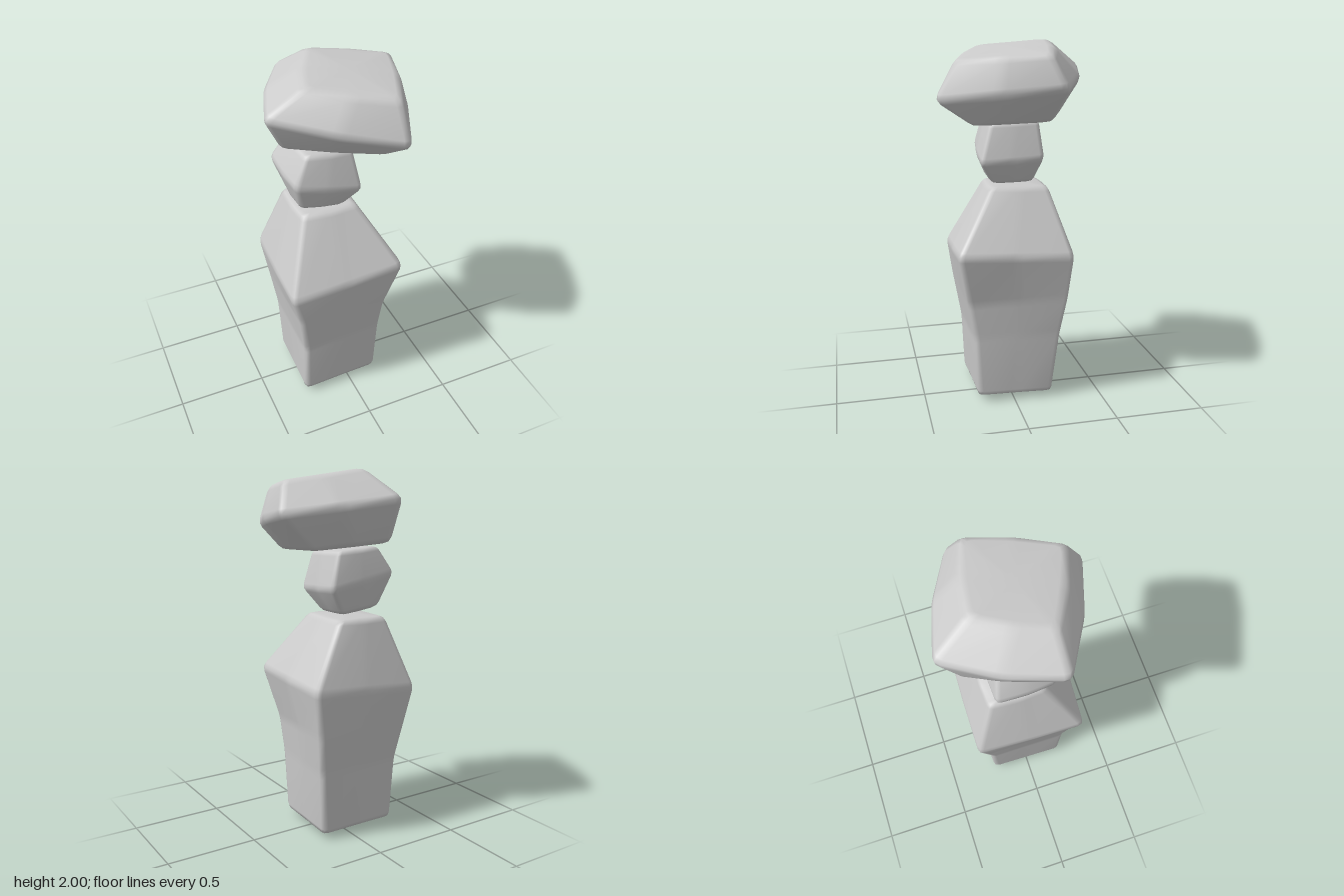
import * as THREE from 'three';
import { mergeVertices } from 'three/addons/utils/BufferGeometryUtils.js';

const v = (p) => new THREE.Vector3(...p);

// Replace each corner of a polyline with a short three-point curve.
function roundCorners(points, radius, closed) {
  const n = points.length;
  const out = [];
  points.forEach((p, i) => {
    if (!closed && (i === 0 || i === n - 1)) return out.push(p.clone());
    const toward = (q) => {
      const d = p.distanceTo(q);
      return p.clone().lerp(q, d > 0 ? Math.min(radius / d, 0.35) : 0);
    };
    const a = toward(points[(i + n - 1) % n]);
    const b = toward(points[(i + 1) % n]);
    const mid = a.clone().add(b).multiplyScalar(0.25).addScaledVector(p, 0.5);
    out.push(a, mid, b);
  });
  return out;
}

// Four-cornered section with slightly bulging sides.
function section(corners, radius, bulge) {
  const c = corners.map(v);
  const centre = c.reduce((s, p) => s.add(p), new THREE.Vector3()).multiplyScalar(0.25);
  const ring = [];
  c.forEach((p, i) => {
    const mid = p.clone().lerp(c[(i + 1) % 4], 0.5);
    const out = mid.clone().sub(centre).setY(0).normalize();
    ring.push(p, mid.addScaledVector(out, bulge));
  });
  return roundCorners(ring, radius, true);
}

// Stone lofted through sections from bottom to top, with softened ridges.
function makeStone(name, { levels, bottom, top, radius, bulge }) {
  const rings = levels.map((l, i) => section(l, radius, bulge[i]));
  const count = rings[0].length;
  const columns = [];
  for (let j = 0; j < count; j++) {
    columns.push(roundCorners([v(bottom), ...rings.map((r) => r[j]), v(top)], radius, false));
  }
  const rows = columns[0].length;
  const positions = [];
  const index = [];
  columns.forEach((col) => col.forEach((p) => positions.push(p.x, p.y, p.z)));
  for (let j = 0; j < count; j++) {
    const k = (j + 1) % count;
    for (let i = 0; i < rows - 1; i++) {
      const a = j * rows + i, b = k * rows + i;
      if (i > 0) index.push(a, b, b + 1);
      if (i < rows - 2) index.push(a, b + 1, a + 1);
      else if (i === 0) index.push(a, b + 1, a + 1);
    }
  }
  let geometry = new THREE.BufferGeometry();
  geometry.setAttribute('position', new THREE.Float32BufferAttribute(positions, 3));
  geometry.setIndex(index);
  geometry = mergeVertices(geometry, 1e-5);
  geometry.computeVertexNormals();
  const mesh = new THREE.Mesh(geometry, new THREE.MeshStandardMaterial({ color: 0xcccccc, roughness: 0.9 }));
  mesh.name = name;
  return mesh;
}

// Corners run front-left, front-right, back-right, back-left as seen on the page.
const baseStone = {
  radius: 0.03,
  bulge: [0, 0, 0, 0.005, 0.01],
  bottom: [-0.06, 0, 0],
  top: [-0.08, 1.235, -0.05],
  levels: [
    [[-0.29, 0.03, 0.22], [0.17, 0.04, 0.21], [0.18, 0.03, -0.22], [-0.28, 0.03, -0.22]],
    [[-0.29, 0.38, 0.235], [0.18, 0.4, 0.23], [0.215, 0.4, -0.255], [-0.295, 0.4, -0.24]],
    [[-0.33, 0.65, 0.28], [0.19, 0.6, 0.265], [0.245, 0.62, -0.29], [-0.325, 0.62, -0.285]],
    [[-0.38, 0.83, 0.3], [0.265, 0.9, 0.325], [0.28, 0.87, -0.31], [-0.355, 0.83, -0.325]],
    [[-0.23, 1.225, 0.1], [0.075, 1.23, 0.11], [0.07, 1.22, -0.21], [-0.23, 1.22, -0.21]],
  ],
};

const middleStone = {
  radius: 0.025,
  bulge: [0.01, 0.01, 0.01],
  bottom: [-0.09, 1.225, -0.04],
  top: [-0.08, 1.6, -0.03],
  levels: [
    [[-0.24, 1.28, 0.1], [0, 1.235, 0.09], [0.01, 1.24, -0.14], [-0.23, 1.27, -0.14]],
    [[-0.28, 1.43, 0.14], [0.08, 1.36, 0.17], [0.1, 1.38, -0.18], [-0.3, 1.46, -0.19]],
    [[-0.21, 1.59, 0.11], [0.05, 1.57, 0.11], [0.05, 1.58, -0.16], [-0.21, 1.6, -0.16]],
  ],
};

// Tilted slab, corners starting at the left-hand point.
const capStone = {
  radius: 0.035,
  bulge: [0.015, 0.035, 0.02],
  bottom: [-0.02, 1.59, -0.02],
  top: [0.06, 1.975, 0.02],
  levels: [
    [[-0.33, 1.65, 0.08], [0.18, 1.575, 0.23], [0.22, 1.59, -0.18], [-0.17, 1.63, -0.33]],
    [[-0.43, 1.85, 0.135], [0.21, 1.71, 0.43], [0.43, 1.775, -0.215], [-0.155, 1.86, -0.44]],
    [[-0.22, 1.975, 0.13], [0.2, 1.915, 0.32], [0.37, 1.945, -0.14], [-0.06, 2.01, -0.23]],
  ],
};

export function createModel() {
  const group = new THREE.Group();
  group.name = 'stackedStones';
  group.add(
    makeStone('baseStone', baseStone),
    makeStone('middleStone', middleStone),
    makeStone('capStone', capStone),
  );
  return group;
}
